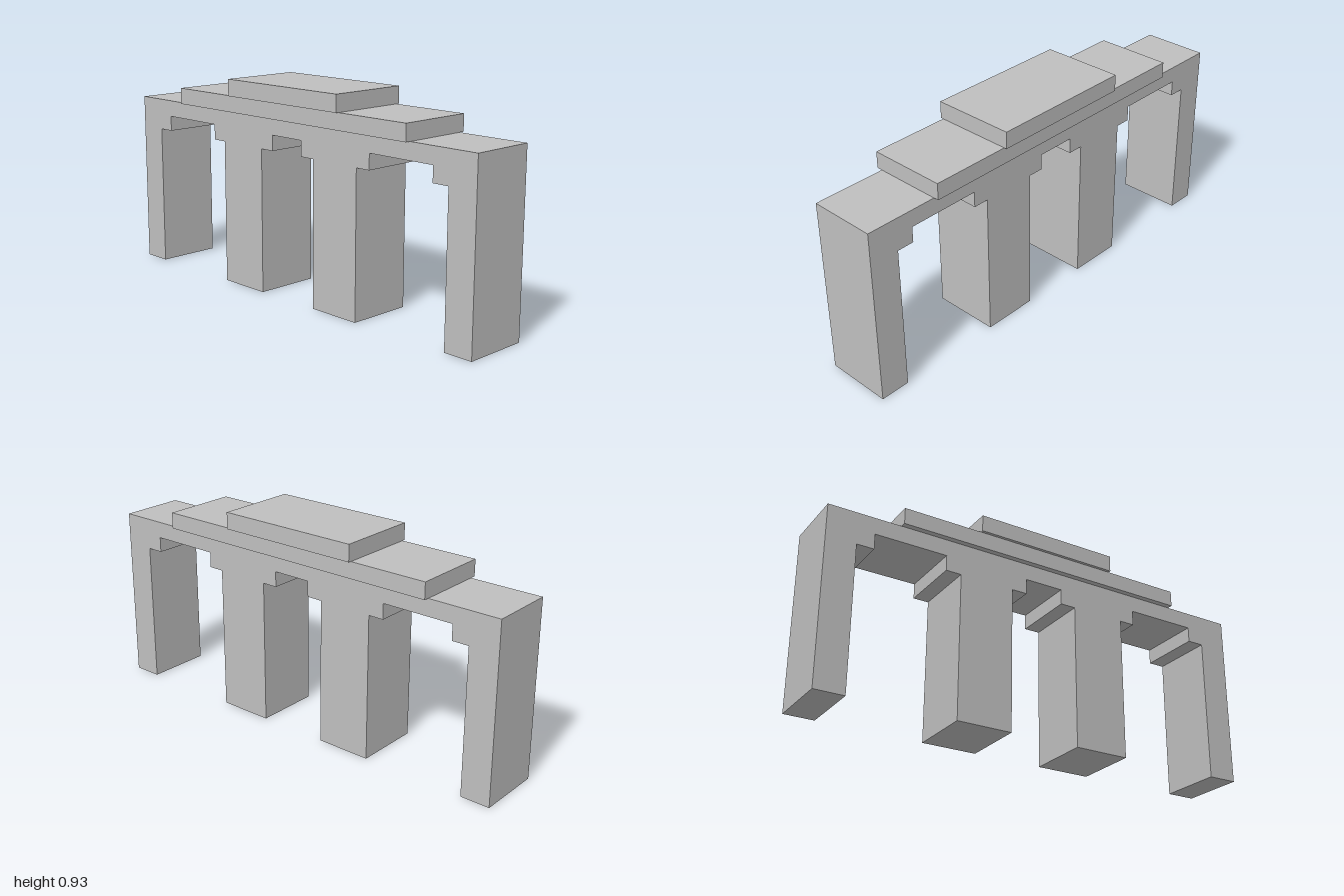
import * as THREE from 'three';

export function createModel() {
  const model = new THREE.Group();
  const stone = new THREE.MeshStandardMaterial({ color: 0xbfbfbf });
  stone.name = 'grey stone';

  function add(name, geometry) {
    const mesh = new THREE.Mesh(geometry, stone);
    mesh.name = name;
    model.add(mesh);
    return mesh;
  }

  // Arcade: one wall whose lower edge steps over three corbelled openings
  const top = 0.781, lintel = 0.708, corbel = 0.64, depth = 0.292;
  const half = [
    [0.088, lintel], [0.088, corbel], [0.158, corbel], [0.158, 0],
    [0.404, 0], [0.404, corbel], [0.473, corbel], [0.473, lintel],
    [0.794, lintel], [0.794, corbel], [0.869, corbel], [0.869, 0],
    [1, 0], [1, top],
  ];
  const mirrored = half.map(([x, y]) => [-x, y]).reverse();
  const outline = [...half, ...mirrored].map(([x, y]) => new THREE.Vector2(x, y));
  const arcade = new THREE.ExtrudeGeometry(new THREE.Shape(outline), { depth, bevelEnabled: false });
  arcade.translate(0, 0, -depth / 2);
  add('arcade', arcade);

  // Stepped slabs on top: each is shorter and deeper than the one below
  const slabs = [
    ['lowerSlab', 1.362, 0.34, top, 0.853],
    ['upperSlab', 0.657, 0.366, 0.853, 0.927],
  ];
  for (const [name, width, slabDepth, y0, y1] of slabs) {
    add(name, new THREE.BoxGeometry(width, y1 - y0, slabDepth)).position.set(0, (y0 + y1) / 2, 0.001);
  }

  return model;
}
